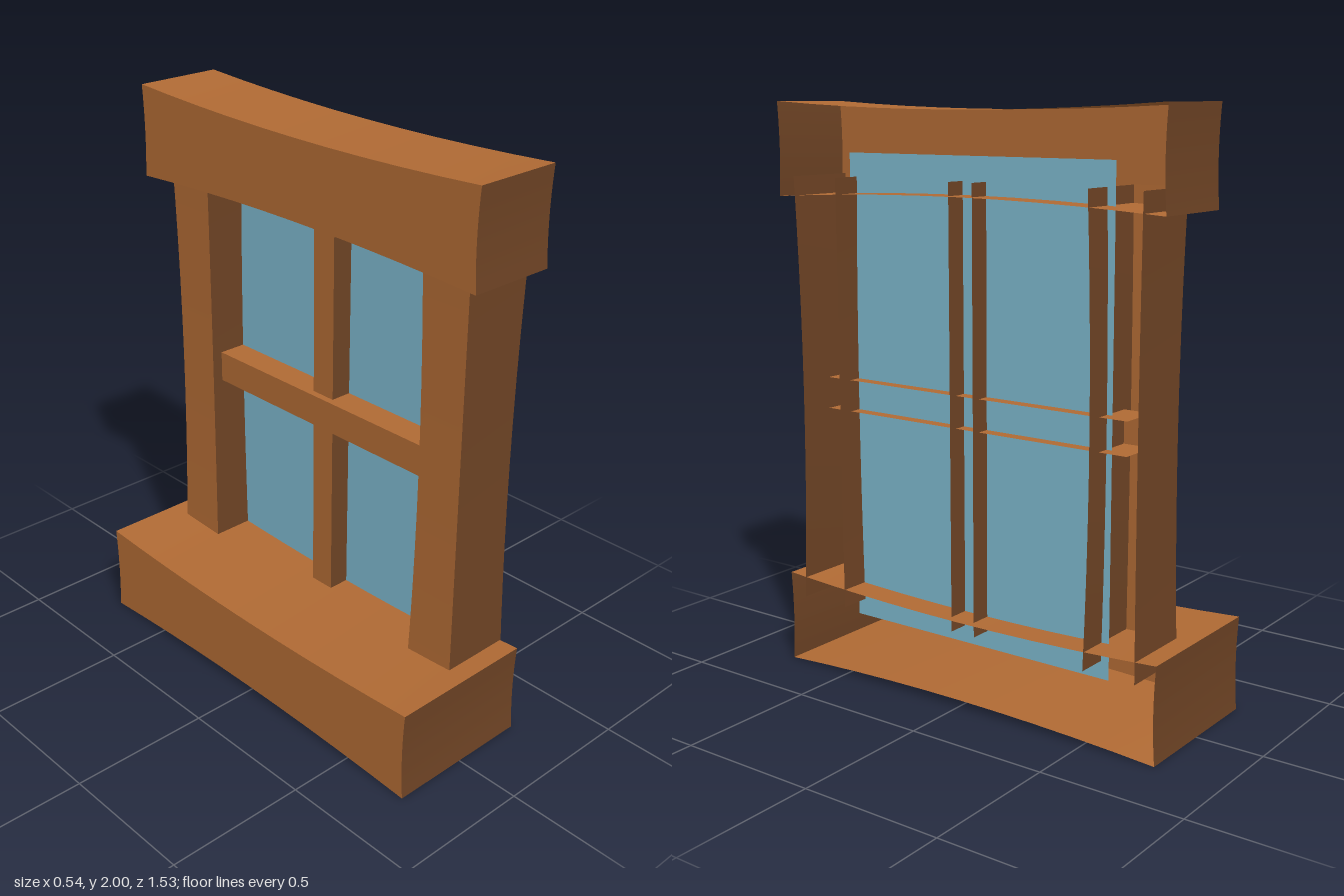
import * as THREE from 'three';

const wood = new THREE.MeshStandardMaterial({ color: 0xb06a34, side: THREE.DoubleSide });
wood.name = 'wood';
const darkWood = new THREE.MeshStandardMaterial({ color: 0x6e4324, side: THREE.DoubleSide });
darkWood.name = 'darkWood';
const glass = new THREE.MeshStandardMaterial({ color: 0x7cb6cb, side: THREE.DoubleSide });
glass.name = 'glass';

// Box sides in geometry order: +x, -x, +y, -y, +z, -z
const FRONT = 1, TOP = 2, BOTTOM = 3, LEFT = 4, RIGHT = 5;

// Hollow beam, open towards the wall (+x); only the listed sides are kept.
// warp(p) takes a point scaled to -1..1 and returns the scale for each axis.
function beam(name, [x0, x1], [y0, y1], [z0, z1], sides, warp) {
  const half = new THREE.Vector3(x1 - x0, y1 - y0, z1 - z0).multiplyScalar(0.5);
  const geo = new THREE.BoxGeometry(half.x * 2, half.y * 2, half.z * 2, 1, 10, 10);

  const all = Array.from(geo.index.array);
  const groups = geo.groups.slice();
  const kept = [];
  geo.clearGroups();
  for (const s of sides) {
    const { start, count } = groups[s];
    geo.addGroup(kept.length, count, s >= LEFT ? 1 : 0);
    for (let i = start; i < start + count; i++) kept.push(all[i]);
  }
  geo.setIndex(kept);

  if (warp) {
    const pos = geo.attributes.position;
    const p = new THREE.Vector3();
    for (let i = 0; i < pos.count; i++) {
      p.fromBufferAttribute(pos, i);
      p.multiply(warp(p.clone().divide(half)));
      pos.setXYZ(i, p.x, p.y, p.z);
    }
    geo.computeVertexNormals();
  }

  const mesh = new THREE.Mesh(geo, [wood, darkWood]);
  mesh.name = name;
  mesh.position.set((x0 + x1) / 2, (y0 + y1) / 2, (z0 + z1) / 2);
  return mesh;
}

// Slimmer towards the middle of the length
const bow = (t, k) => 1 - k * (1 - t * t);
const warpAcross = (p) => new THREE.Vector3(1, bow(p.z, 0.16), bow(p.y, 0.009));
const warpUpright = (p) => new THREE.Vector3(bow(p.y, 0.08), 1, bow(p.y, 0.1));

export function createModel() {
  const model = new THREE.Group();
  model.name = 'window';

  // Heavy top and bottom beams
  const closedEnds = [FRONT, TOP, BOTTOM, LEFT, RIGHT];
  model.add(beam('lintel', [-0.05, 0.265], [1.68, 2], [-0.763, 0.763], closedEnds, warpAcross));
  model.add(beam('sill', [-0.275, 0.265], [0, 0.327], [-0.763, 0.763], closedEnds, warpAcross));

  // Side posts
  const upright = [FRONT, LEFT, RIGHT];
  model.add(beam('leftPost', [0.01, 0.27], [0.25, 1.75], [0.5, 0.69], upright, warpUpright));
  model.add(beam('rightPost', [0.01, 0.27], [0.25, 1.75], [-0.69, -0.5], upright, warpUpright));

  // Cross bars
  model.add(beam('mullion', [0.085, 0.237], [0.25, 1.75], [-0.047, 0.047], upright));
  model.add(beam('middleRail', [0.06, 0.206], [0.945, 1.055], [-0.61, 0.61], [FRONT, TOP, BOTTOM]));

  // Glass sheet
  const pane = new THREE.Mesh(new THREE.PlaneGeometry(1.06, 1.64), glass);
  pane.name = 'glassPane';
  pane.rotation.y = Math.PI / 2;
  pane.position.set(0.162, 1.01, 0);
  model.add(pane);

  return model;
}
